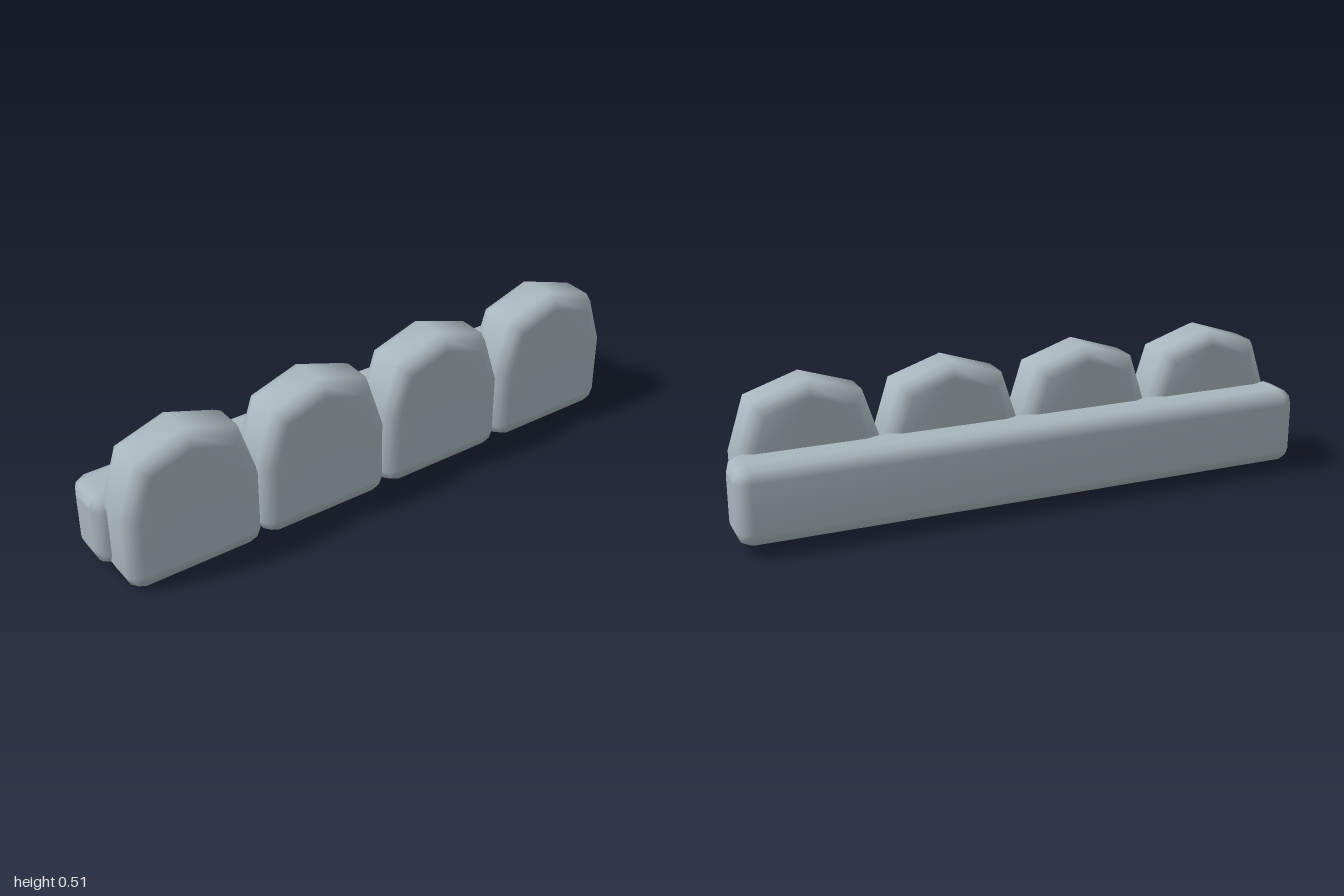
import * as THREE from 'three';
import { mergeVertices } from 'three/addons/utils/BufferGeometryUtils.js';

const BEVEL = 0.047;

// Extrudes an outline to the given depth (centred on z) with soft two-step edges
function softSlab(points, depth) {
  const shape = new THREE.Shape(points.map(([x, y]) => new THREE.Vector2(x, y)));
  const raw = new THREE.ExtrudeGeometry(shape, {
    depth: depth - 2 * BEVEL, steps: 1, bevelEnabled: true,
    bevelThickness: BEVEL, bevelSize: BEVEL, bevelOffset: -BEVEL, bevelSegments: 2,
  });
  raw.translate(0, 0, BEVEL - depth / 2);
  raw.deleteAttribute('uv');
  raw.deleteAttribute('normal');
  const geometry = mergeVertices(raw, 1e-4);
  geometry.computeVertexNormals();
  return geometry;
}

// Three points rounding a corner; sx and sy point outwards, listed from the side edge to the flat edge
function corner(x, y, sx, sy, r = 0.05) {
  const k = r * (1 - Math.SQRT1_2);
  return [[x, y - sy * r], [x - sx * k, y - sy * k], [x - sx * r, y]];
}

export function createModel() {
  const model = new THREE.Group();
  model.name = 'paddedRow';
  const grey = new THREE.MeshStandardMaterial({ color: 0xa8b6bd });
  grey.name = 'blue grey';

  // Four upright pads with peaked tops
  const w = 0.24;
  const padOutline = [
    ...corner(-w, 0, -1, -1),
    ...corner(w, 0, 1, -1).reverse(),
    [w, 0.27], [0.182, 0.45], [0, 0.51], [-0.182, 0.45], [-w, 0.27],
  ];
  const padGeometry = softSlab(padOutline, 0.193);
  for (let i = 0; i < 4; i++) {
    const pad = new THREE.Mesh(padGeometry, grey);
    pad.name = `pad${i + 1}`;
    pad.position.set((i - 1.5) * 0.483, 0, 0.0635);
    model.add(pad);
  }

  // Long rounded bar behind the pads
  const bw = 0.0965, bh = 0.135;
  const barOutline = [
    ...corner(-bw, -bh, -1, -1),
    ...corner(bw, -bh, 1, -1).reverse(),
    ...corner(bw, bh, 1, 1),
    ...corner(-bw, bh, -1, 1).reverse(),
  ];
  const bar = new THREE.Mesh(softSlab(barOutline, 2), grey);
  bar.name = 'backBar';
  bar.rotation.y = Math.PI / 2;
  bar.position.set(0, 0.163, -0.0635);
  model.add(bar);

  return model;
}
